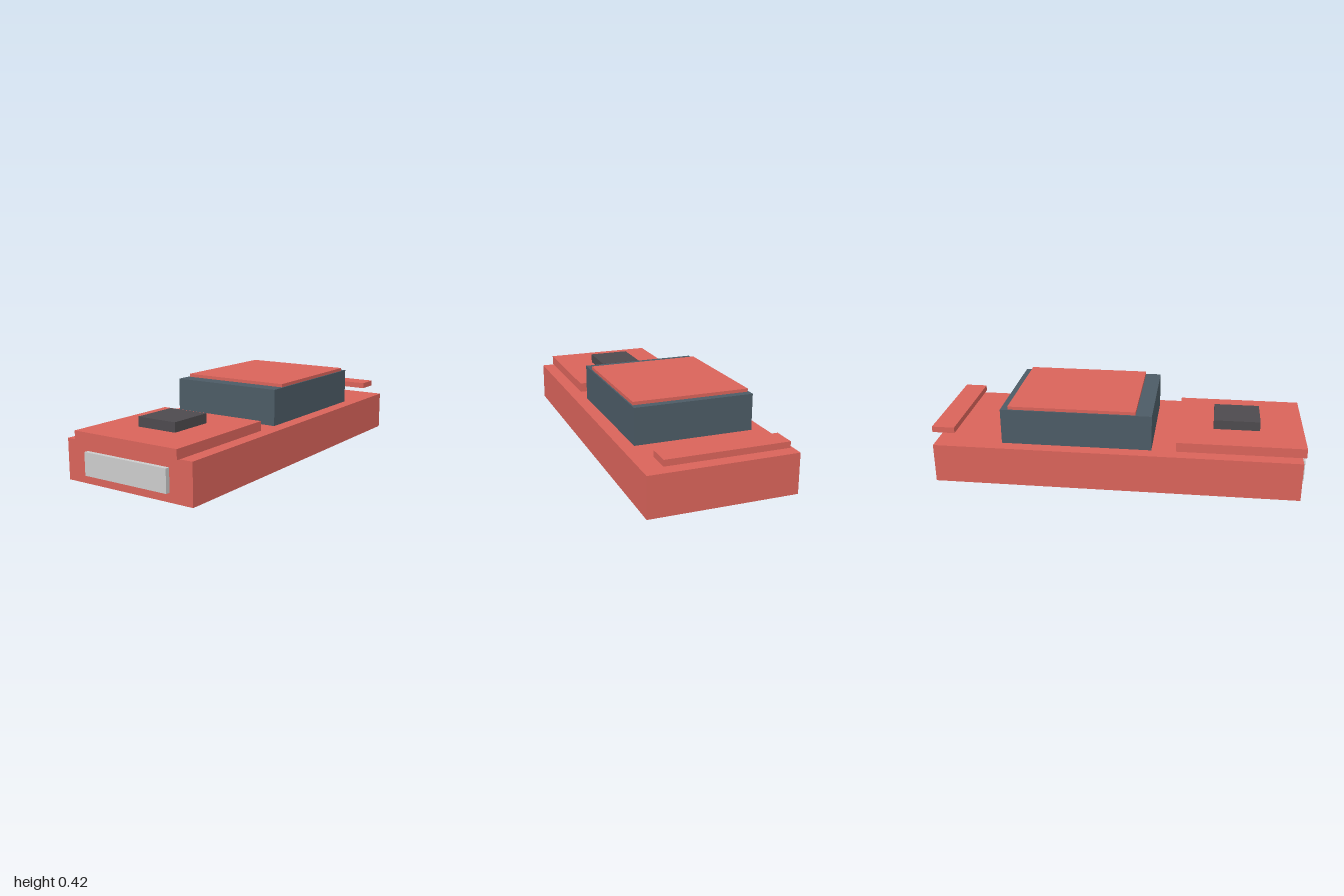
import * as THREE from 'three';

const paint = new THREE.MeshStandardMaterial({ color: 0xd9635a });
const glass = new THREE.MeshStandardMaterial({ color: 0x4c5b65 });
const dark = new THREE.MeshStandardMaterial({ color: 0x4d4a4e });
const grey = new THREE.MeshStandardMaterial({ color: 0xcccccc });

// Box centred on x, given its width and its y and z ranges
function block(name, material, width, [y0, y1], [z0, z1]) {
  const mesh = new THREE.Mesh(new THREE.BoxGeometry(width, y1 - y0, z1 - z0), material);
  mesh.name = name;
  mesh.position.set(0, (y0 + y1) / 2, (z0 + z1) / 2);
  return mesh;
}

export function createModel() {
  const car = new THREE.Group();
  car.name = 'car';
  car.add(
    block('body', paint, 0.776, [0, 0.213], [-0.977, 0.976]),
    // Raised bonnet with its air scoop
    block('hood', paint, 0.634, [0.213, 0.264], [0.319, 0.997]),
    block('hoodScoop', dark, 0.232, [0.264, 0.315], [0.512, 0.762]),
    // Glazed cabin under a thin roof panel
    block('cabin', glass, 0.634, [0.213, 0.406], [-0.617, 0.19]),
    block('roof', paint, 0.618, [0.406, 0.423], [-0.577, 0.104]),
    // Front grille and floating rear wing
    block('grille', grey, 0.508, [0.047, 0.166], [0.96, 1]),
    block('rearSpoiler', paint, 0.634, [0.256, 0.288], [-1, -0.877]),
  );
  return car;
}
